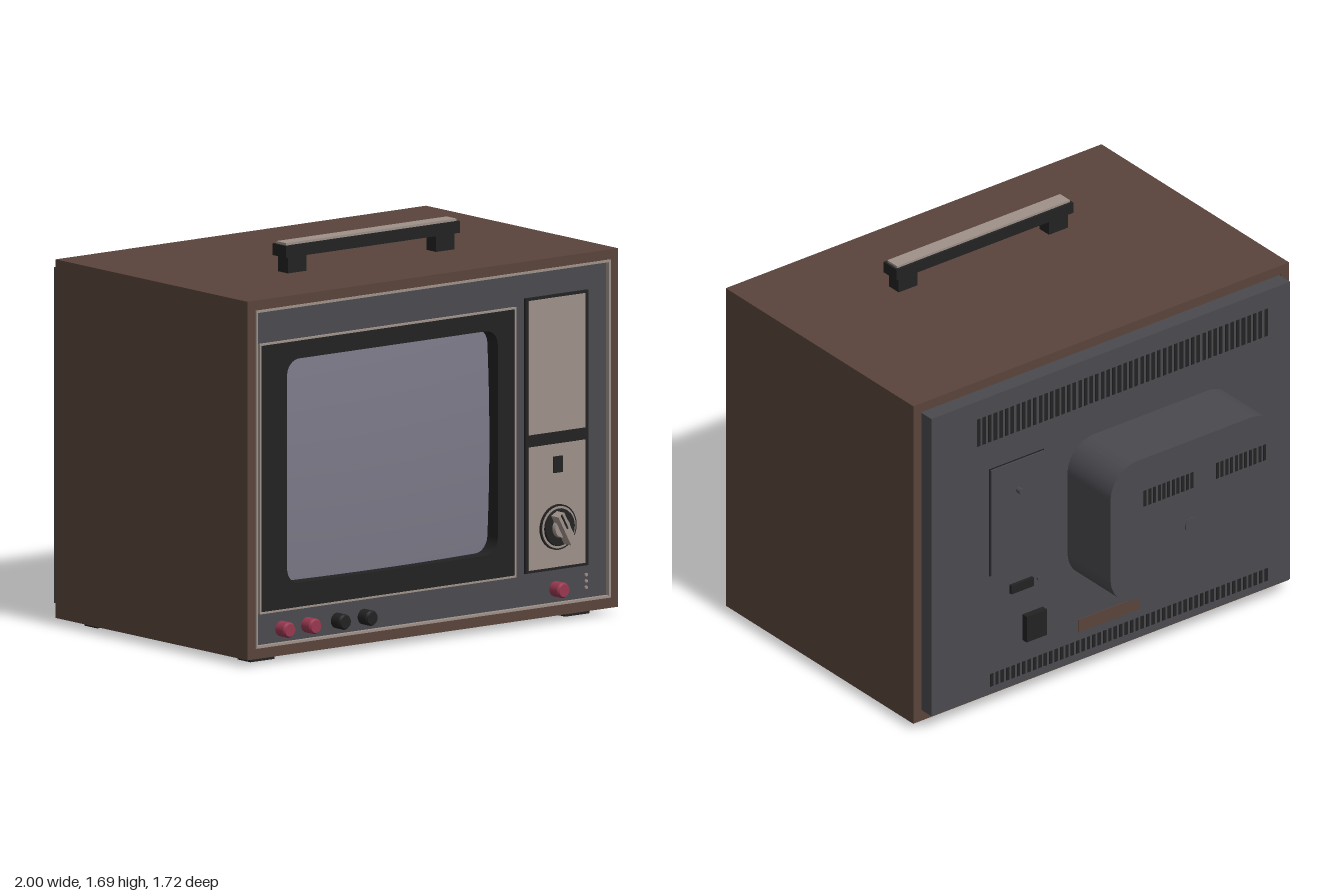
import * as THREE from 'three';
import { mergeGeometries } from 'three/addons/utils/BufferGeometryUtils.js';

const mat = (name, color) => {
  const m = new THREE.MeshStandardMaterial({ color });
  m.name = name;
  return m;
};

// Rectangle outline with optional rounded corners
function outline(Type, [x0, x1, y0, y1], r = 0) {
  const s = new Type();
  if (!r) {
    s.moveTo(x0, y0).lineTo(x1, y0).lineTo(x1, y1).lineTo(x0, y1).closePath();
    return s;
  }
  s.moveTo(x0 + r, y0);
  s.absarc(x1 - r, y0 + r, r, -Math.PI / 2, 0);
  s.absarc(x1 - r, y1 - r, r, 0, Math.PI / 2);
  s.absarc(x0 + r, y1 - r, r, Math.PI / 2, Math.PI);
  s.absarc(x0 + r, y0 + r, r, Math.PI, Math.PI * 1.5);
  return s;
}

// Plate spanning z0..z1, with an optional opening
function plateGeo(rect, z0, z1, r = 0, hole = null, holeR = 0) {
  const s = outline(THREE.Shape, rect, r);
  if (hole) s.holes.push(outline(THREE.Path, hole, holeR));
  return new THREE.ExtrudeGeometry(s, { depth: z1 - z0, bevelEnabled: false, curveSegments: 8 }).translate(0, 0, z0);
}

const inset = ([a, b, c, d], t) => [a + t, b - t, c + t, d - t];

export function createModel() {
  const root = new THREE.Group();
  root.name = 'portableTelevision';
  const brown = mat('walnut brown', 0x59443b);
  const gray = mat('charcoal gray', 0x4a494e);
  const black = mat('soft black', 0x222222);
  const beige = mat('warm beige', 0x9e9189);
  const glass = mat('screen glass', 0x7b7987);
  const red = mat('knob red', 0x983850);

  const add = (name, geo, material) => {
    const m = new THREE.Mesh(geo, material);
    m.name = name;
    root.add(m);
    return m;
  };
  const plate = (name, material, rect, z0, z1, ...rest) => add(name, plateGeo(rect, z0, z1, ...rest), material);
  const box = (name, material, [x0, x1, y0, y1], z0, z1) =>
    add(name, new THREE.BoxGeometry(x1 - x0, y1 - y0, z1 - z0)
      .translate((x0 + x1) / 2, (y0 + y1) / 2, (z0 + z1) / 2), material);
  // Cylinder lying along z
  const disc = (name, material, x, y, r, z0, z1, r2 = r) =>
    add(name, new THREE.CylinderGeometry(r2, r, z1 - z0, 32).rotateX(Math.PI / 2)
      .translate(x, y, (z0 + z1) / 2), material);

  // Cabinet shell
  const inner = [-0.957, 0.957, 0.075, 1.517];
  plate('cabinet', brown, [-1, 1, 0.03, 1.56], -0.49, 0.79, 0, inner);
  plate('frontTrim', beige, inner, 0.76, 0.796, 0, inset(inner, 0.01));

  // Front panel, bezel and bulging screen
  const bezel = [-0.93, 0.455, 0.217, 1.37];
  const opening = [-0.78, 0.357, 0.328, 1.285];
  plate('frontPanel', gray, inset(inner, 0.008), 0.69, 0.775, 0, inset(bezel, 0.01));
  plate('bezelTrim', beige, bezel, 0.74, 0.787, 0, inset(bezel, 0.008));
  plate('screenBezel', black, inset(bezel, 0.007), 0.69, 0.783, 0, opening, 0.065);
  const screen = new THREE.PlaneGeometry(1.18, 1.0, 24, 20);
  const p = screen.attributes.position;
  for (let i = 0; i < p.count; i++) {
    const u = p.getX(i) / 0.59, v = p.getY(i) / 0.5;
    p.setZ(i, 0.05 * (1 - 0.6 * u * u - 0.4 * v * v));
  }
  screen.computeVertexNormals();
  add('screen', screen.translate(-0.212, 0.807, 0.705), glass);

  // Control column
  const column = [0.505, 0.845, 0.225, 1.4];
  plate('controlFrame', black, column, 0.76, 0.785);
  plate('speakerPlate', beige, [0.522, 0.828, 0.815, 1.388], 0.78, 0.788);
  plate('tunerPlate', beige, [0.522, 0.828, 0.237, 0.763], 0.78, 0.788);
  plate('channelWindow', black, [0.65, 0.7, 0.64, 0.71], 0.786, 0.793);

  // Tuning dial
  const dx = 0.675, dy = 0.408;
  disc('dialBase', black, dx, dy, 0.097, 0.785, 0.797);
  disc('dialRing', beige, dx, dy, 0.09, 0.79, 0.799);
  disc('dialFace', black, dx, dy, 0.083, 0.79, 0.808, 0.078);
  disc('dialHub', beige, dx, dy, 0.045, 0.8, 0.825, 0.04);
  const grip = add('dialGrip', new THREE.BoxGeometry(0.036, 0.145, 0.055), beige);
  grip.position.set(dx, dy, 0.83);
  grip.rotation.z = 0.5;
  const mark = add('dialPointer', new THREE.BoxGeometry(0.008, 0.07, 0.004), black);
  mark.position.set(dx - 0.018, dy + 0.033, 0.858);
  mark.rotation.z = 0.5;

  // Small front knobs
  const knobs = [[-0.805, red], [-0.665, red], [-0.505, black], [-0.36, black], [0.675, red]];
  for (const [x, m] of knobs) {
    disc('knob', m, x, 0.142, 0.033, 0.77, 0.825);
    disc('knobCap', m, x, 0.142, 0.033, 0.825, 0.835, 0.027);
  }
  for (const y of [0.13, 0.157, 0.184]) disc('indicator', beige, 0.838, y, 0.007, 0.77, 0.782);

  // Carrying handle
  for (const s of [-1, 1]) box('handlePost', black, [s * 0.4 - 0.05, s * 0.4 + 0.05, 1.555, 1.635], 0.315, 0.38);
  box('handleBar', black, [-0.47, 0.47, 1.63, 1.68], 0.303, 0.392);
  box('handleInlay', beige, [-0.46, 0.46, 1.675, 1.69], 0.314, 0.38);

  // Hollow feet
  for (const sx of [-1, 1]) for (const z of [0.662, -0.36]) {
    const rim = plateGeo([-0.065, 0.065, -0.043, 0.043], 0, 0.032, 0, [-0.045, 0.045, -0.025, 0.025]);
    add('foot', rim.rotateX(-Math.PI / 2).translate(sx * 0.85, 0, z), black);
    box('footCore', black, [sx * 0.85 - 0.05, sx * 0.85 + 0.05, 0.012, 0.031], z - 0.03, z + 0.03);
  }

  // Back cover and tube housing
  plate('backCover', gray, [-0.955, 0.955, 0.08, 1.512], -0.556, -0.46);
  plate('tubeHousing', gray, [-0.655, 0.23, 0.475, 1.14], -0.85, -0.55, 0.14);
  disc('housingScrew', gray, -0.2, 0.735, 0.035, -0.856, -0.845);

  // Rows of ventilation slots
  const slots = (name, x0, x1, y0, y1, z, n) => {
    const step = (x1 - x0) / n, parts = [];
    for (let i = 0; i < n; i++) {
      parts.push(new THREE.BoxGeometry(step * 0.55, y1 - y0, 0.006)
        .translate(x0 + step * (i + 0.5), (y0 + y1) / 2, z));
    }
    add(name, mergeGeometries(parts), black);
  };
  slots('upperVents', -0.84, 0.72, 1.295, 1.425, -0.556, 52);
  slots('lowerVents', -0.84, 0.65, 0.115, 0.175, -0.556, 52);
  slots('housingVents', -0.6, -0.325, 0.91, 0.985, -0.85, 11);
  slots('housingVents', -0.215, 0.06, 0.91, 0.985, -0.85, 11);

  // Rear hatch, sockets and label
  plate('hatchGap', black, [0.357, 0.648, 0.647, 1.163], -0.558, -0.55);
  plate('hatch', gray, [0.362, 0.643, 0.652, 1.158], -0.565, -0.55);
  disc('hatchKnob', gray, 0.5, 1.02, 0.013, -0.592, -0.56);
  box('antennaSocket', black, [0.42, 0.54, 0.53, 0.57], -0.572, -0.55);
  disc('antennaScrew', gray, 0.385, 0.55, 0.01, -0.566, -0.55);
  box('powerSocket', black, [0.362, 0.47, 0.28, 0.403], -0.585, -0.55);
  box('ratingLabel', brown, [-0.15, 0.175, 0.215, 0.275], -0.56, -0.552);

  return root;
}
